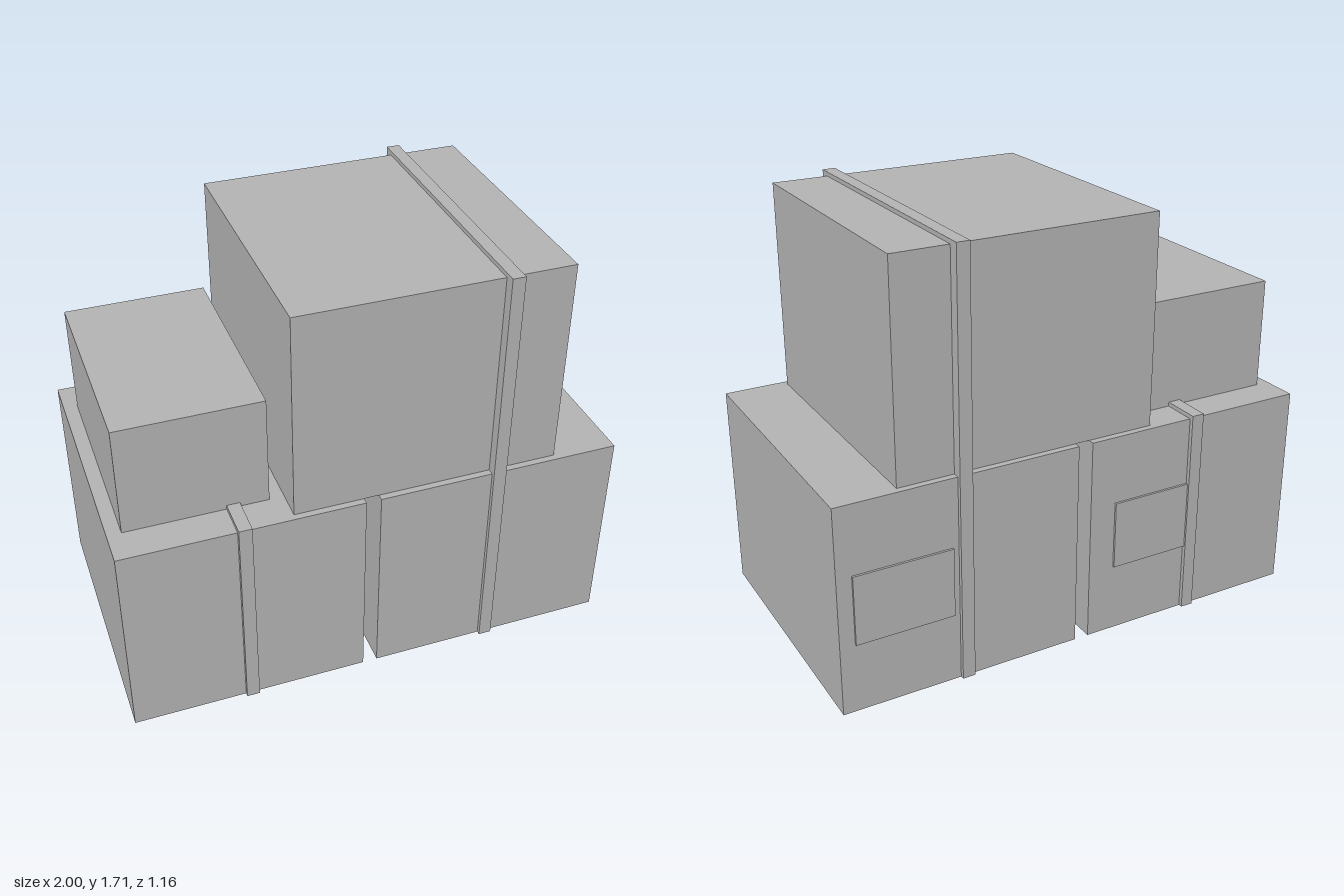
import * as THREE from 'three';

export function createModel() {
  const model = new THREE.Group();
  model.name = 'crateStack';
  const grey = new THREE.MeshStandardMaterial({ color: 0xb2b2b2 });
  grey.name = 'grey';

  // Box given by its extents on each axis
  function block(name, [x0, x1], [y0, y1], [z0, z1]) {
    const mesh = new THREE.Mesh(new THREE.BoxGeometry(x1 - x0, y1 - y0, z1 - z0), grey);
    mesh.position.set((x0 + x1) / 2, (y0 + y1) / 2, (z0 + z1) / 2);
    mesh.name = name;
    model.add(mesh);
  }

  // Bottom row of crates
  block('rightBottomCrate', [-1, -0.047], [0, 0.847], [-0.564, 0.564]);
  block('leftBottomCrate', [0.012, 1], [0, 0.847], [-0.564, 0.564]);

  // Crates stacked on top
  block('smallTopCrate', [-0.944, -0.382], [0.847, 1.297], [-0.422, 0.422]);
  block('largeTopCrate', [-0.324, 0.746], [0.847, 1.694], [-0.537, 0.537]);

  // Straps around the stacks
  block('shortStrap', [-0.548, -0.496], [0.001, 0.864], [-0.581, 0.581]);
  block('tallStrap', [0.468, 0.52], [0.001, 1.711], [-0.581, 0.581]);

  // Thin label plates on the back
  block('rightLabel', [-0.553, -0.157], [0.284, 0.566], [-0.573, -0.564]);
  block('leftLabel', [0.544, 0.94], [0.284, 0.566], [-0.573, -0.564]);

  return model;
}
